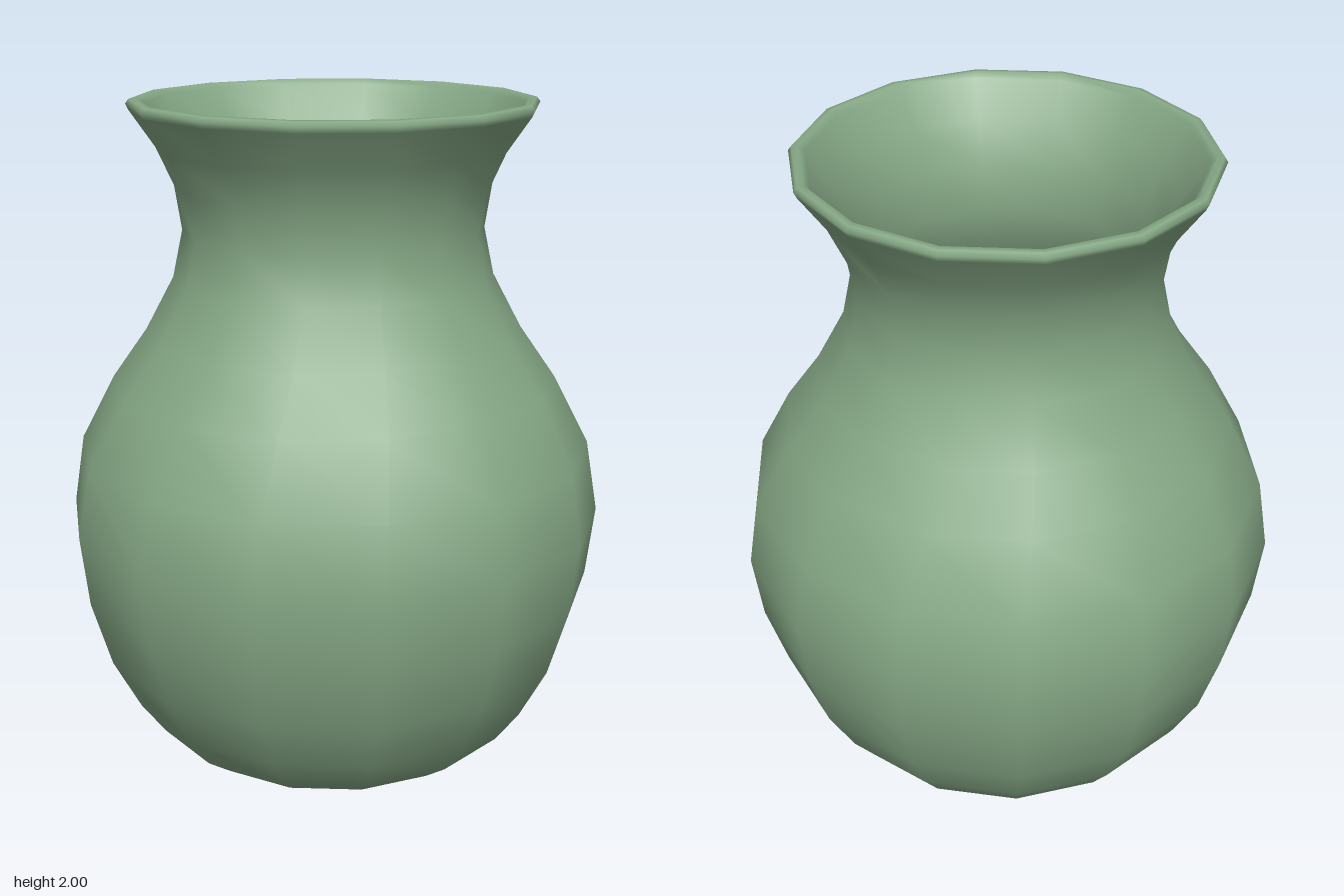
import * as THREE from 'three';

const SIDES = 14;

// Lathe whose rings turn slightly between the belly and the neck
function twistedLathe(profile) {
  const geometry = new THREE.LatheGeometry(profile.map(([r, y]) => new THREE.Vector2(r, y)), SIDES);
  const { position, normal } = geometry.attributes;
  const up = new THREE.Vector3(0, 1, 0);
  const v = new THREE.Vector3();
  for (let i = 0; i < position.count; i++) {
    const turn = THREE.MathUtils.degToRad(-1.4 + 6 * THREE.MathUtils.smoothstep(position.getY(i), 0.76, 1.6));
    for (const attribute of [position, normal]) {
      v.fromBufferAttribute(attribute, i).applyAxisAngle(up, turn);
      attribute.setXYZ(i, v.x, v.y, v.z);
    }
  }
  return geometry;
}

export function createModel() {
  const group = new THREE.Group();
  group.name = 'vase';
  const glaze = new THREE.MeshStandardMaterial({ color: 0x86a886 });

  // Base, belly, shoulder, neck and flared lip, as [radius, height]
  const outside = [
    [0, 0], [0.37, 0.005], [0.475, 0.03], [0.56, 0.09], [0.635, 0.19], [0.72, 0.35],
    [0.78, 0.55], [0.805, 0.76], [0.77, 0.97], [0.665, 1.17], [0.56, 1.32],
    [0.475, 1.48], [0.445, 1.62], [0.465, 1.75], [0.515, 1.86], [0.59, 1.968], [0.598, 1.985],
  ];
  // Rounded lip edge, then the inner wall down to the floor
  const inside = [
    [0.588, 1.998], [0.57, 2], [0.553, 1.985], [0.485, 1.88], [0.432, 1.76], [0.412, 1.62],
    [0.442, 1.49], [0.53, 1.34], [0.637, 1.185], [0.735, 0.98], [0.77, 0.76],
    [0.745, 0.56], [0.688, 0.37], [0.605, 0.21], [0.535, 0.12], [0.46, 0.065], [0.36, 0.04], [0, 0.035],
  ];

  const body = new THREE.Mesh(twistedLathe([...outside, ...inside]), glaze);
  body.name = 'vaseBody';
  group.add(body);
  return group;
}
